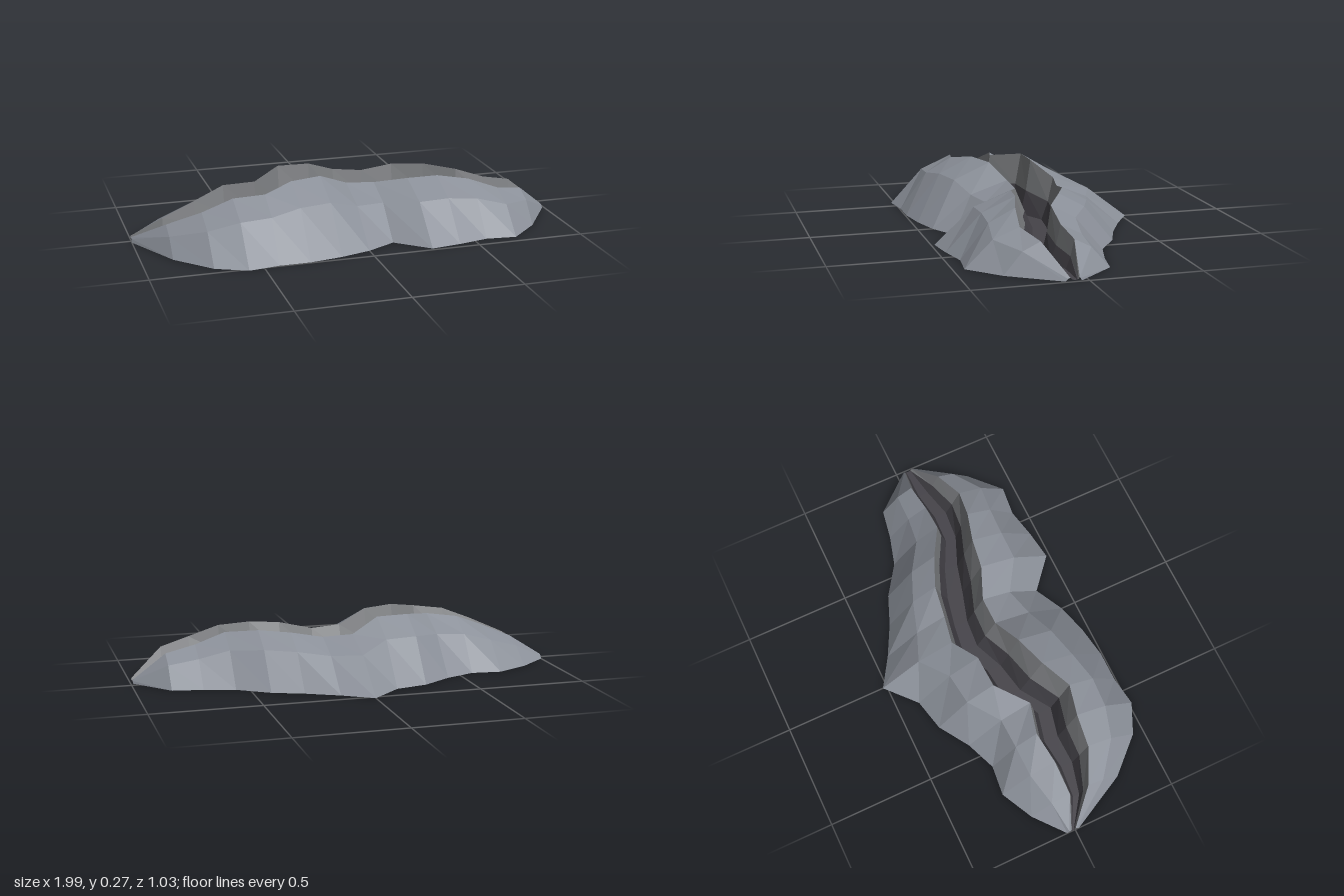
import * as THREE from 'three';

export function createModel() {
  const group = new THREE.Group();
  const mat = (name, color) => {
    const m = new THREE.MeshStandardMaterial({ color, flatShading: true, side: THREE.DoubleSide });
    m.name = name;
    return m;
  };
  const stone = mat('outer stone', 0x8b9099);
  const broken = mat('broken stone', 0x7c7e81);
  const dark = mat('dark crack', 0x454349);

  // Plan outlines and ridge height at 15 stations along the crack
  const xs = [-1, -.86, -.71, -.57, -.43, -.29, -.14, 0, .135, .28, .42, .56, .7, .84, .99];
  const height = [.02, .11, .175, .23, .245, .273, .27, .21, .2, .225, .232, .215, .165, .135, .015];
  const backBase = [-.04, -.155, -.23, -.215, -.27, -.36, -.395, -.52, -.435, -.36, -.305, -.21, -.17, -.145, .03];
  const backRim = [-.02, .035, .03, .005, .04, -.08, -.085, -.155, -.13, -.11, -.05, .03, .03, .015, .04];
  const frontRim = [0, .13, .2, .21, .24, .17, .12, .07, .07, .13, .15, .19, .21, .16, .08];
  const frontBase = [.02, .29, .45, .515, .495, .495, .47, .43, .36, .485, .465, .435, .45, .32, .1];

  // Cross-section at each station, from the back foot to the front foot
  const sections = xs.map((x, i) => {
    const h = height[i], rb = backRim[i], rf = frontRim[i];
    const mix = THREE.MathUtils.lerp;
    const floorY = Math.min(.008, h * .3);
    return [
      [backBase[i], 0],
      [mix(rb, backBase[i], .47), h * .71],
      [rb, h],
      [mix(rb, rf, .11), h * .45],
      [mix(rb, rf, .25), floorY],
      [mix(rb, rf, .58), floorY],
      [mix(rb, rf, .77), h * .45],
      [rf, h],
      [mix(rf, frontBase[i], .49), h * .72],
      [frontBase[i], 0],
    ].map(([z, y]) => new THREE.Vector3(x, y, z));
  });

  // Faceted band of surface between two rows of the cross-section
  function band(name, from, to, material) {
    const points = [];
    for (let i = 0; i < xs.length - 1; i++) {
      for (let j = from; j < to; j++) {
        const a = sections[i][j], b = sections[i][j + 1];
        const c = sections[i + 1][j + 1], d = sections[i + 1][j];
        points.push(a, b, c, a, c, d);
      }
    }
    const geometry = new THREE.BufferGeometry().setFromPoints(points);
    geometry.computeVertexNormals();
    const mesh = new THREE.Mesh(geometry, material);
    mesh.name = name;
    group.add(mesh);
  }

  band('backSlope', 0, 2, stone);
  band('backUpperWall', 2, 3, broken);
  band('backLowerWall', 3, 4, dark);
  band('crackFloor', 4, 5, dark);
  band('frontLowerWall', 5, 6, dark);
  band('frontUpperWall', 6, 7, broken);
  band('frontSlope', 7, 9, stone);

  group.name = 'crackedGround';
  return group;
}
